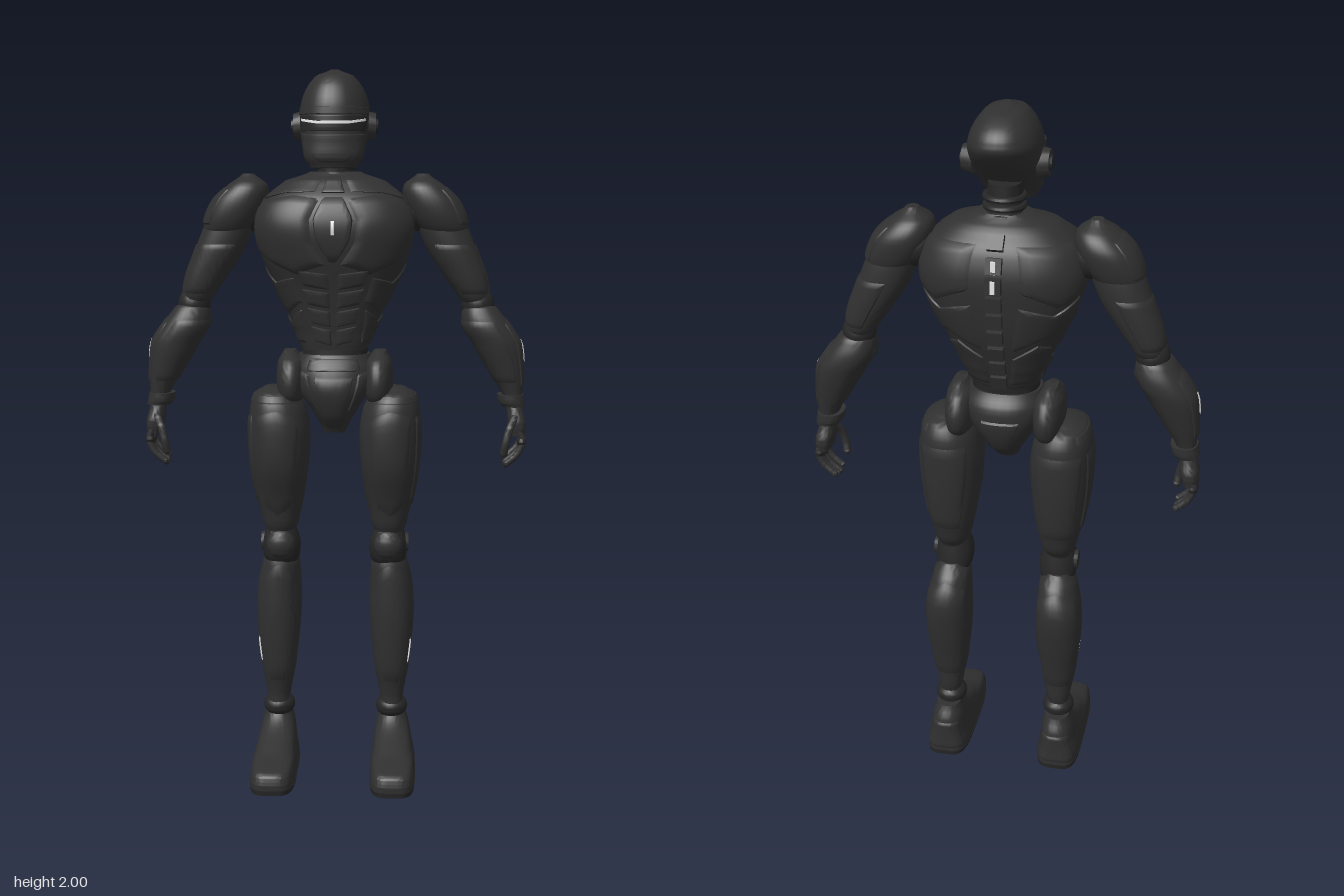
import * as THREE from 'three';
import { toCreasedNormals } from 'three/addons/utils/BufferGeometryUtils.js';

const shell = new THREE.MeshStandardMaterial({ color: 0x303030 });
shell.name = 'charcoal shell';
const joint = new THREE.MeshStandardMaterial({ color: 0x262626 });
joint.name = 'dark joint';
const glow = new THREE.MeshStandardMaterial({ color: 0xf0f0f0 });
glow.name = 'white light';

// Cross-sections run bottom to top: [y, xMin, xMax, zBack, zFront, roundness exponent]
function section(sec, y) {
  let i = 0;
  while (i < sec.length - 2 && y > sec[i + 1][0]) i++;
  const f = (y - sec[i][0]) / (sec[i + 1][0] - sec[i][0]);
  const at = k => sec[THREE.MathUtils.clamp(k, 0, sec.length - 1)];
  return [1, 2, 3, 4, 5].map(c => {
    const [p, q, r, s] = [at(i - 1), at(i), at(i + 1), at(i + 2)].map(v => v[c] ?? 2.3);
    return q + 0.5 * f * (r - p + f * (2 * p - 5 * q + 4 * r - s + f * (3 * (q - r) + s - p)));
  });
}

// Point on a lofted body; angle 0 faces front, +90 degrees faces +x
function surface(sec, y, a, off = 0) {
  const [x0, x1, z0, z1, n] = section(sec, y);
  const pw = v => Math.sign(v) * Math.abs(v) ** (2 / n);
  const s = Math.sin(a), c = Math.cos(a);
  return [(x0 + x1) / 2 + pw(s) * (x1 - x0) / 2 + s * off, y, (z0 + z1) / 2 + pw(c) * (z1 - z0) / 2 + c * off];
}

function build(pos, idx) {
  const g = new THREE.BufferGeometry();
  g.setAttribute('position', new THREE.Float32BufferAttribute(pos, 3));
  g.setIndex(idx);
  return g;
}

// Closed body through the cross-sections
function loft(sec, seg = 36, sub = 4) {
  const pos = [], idx = [], ys = [];
  for (let i = 0; i < sec.length - 1; i++)
    for (let k = 0; k < sub; k++) ys.push(THREE.MathUtils.lerp(sec[i][0], sec[i + 1][0], k / sub));
  ys.push(sec.at(-1)[0]);
  ys.forEach((y, i) => {
    for (let j = 0; j < seg; j++) {
      pos.push(...surface(sec, y, j / seg * Math.PI * 2));
      const a = i * seg + j, b = i * seg + (j + 1) % seg;
      if (i < ys.length - 1) idx.push(a, b, b + seg, a, b + seg, a + seg);
    }
  });
  const last = (ys.length - 1) * seg, c = pos.length / 3;
  for (const s of [sec[0], sec.at(-1)]) pos.push((s[1] + s[2]) / 2, s[0], (s[3] + s[4]) / 2);
  for (let j = 0; j < seg; j++) {
    const k = (j + 1) % seg;
    idx.push(c, k, j, c + 1, last + j, last + k);
  }
  return build(pos, idx);
}

// Raised armour plate following a body; each border is a list interpolated along its length
function plate(sec, bottom, top, left, right, off = 0.006, n = 14) {
  const pos = [], idx = [], lerp = THREE.MathUtils.lerp;
  const along = (list, t) => {
    const f = t * (list.length - 1), i = Math.min(Math.floor(f), list.length - 2);
    return list.length < 2 ? list[0] : lerp(list[i], list[i + 1], f - i);
  };
  for (let i = 0; i <= n; i++) for (let j = 0; j <= n; j++) {
    const u = j / n, v = i / n;
    const edge = Math.min(u, v, 1 - u, 1 - v) * n;
    const h = edge < 0.5 ? -0.004 : edge < 1.5 ? off * 0.8 : off;
    pos.push(...surface(sec, lerp(along(bottom, u), along(top, u), v), lerp(along(left, v), along(right, v), u), h));
    const a = i * (n + 1) + j, b = a + n + 1;
    if (i < n && j < n) idx.push(a, a + 1, b + 1, a, b + 1, b);
  }
  return build(pos, idx);
}

const ball = (x, y, z, rx, ry, rz) => new THREE.SphereGeometry(1, 24, 16).scale(rx, ry, rz).translate(x, y, z);
const disc = (r, h, x, y, z) => new THREE.CylinderGeometry(r * 0.85, r, h, 28).rotateZ(-Math.PI / 2).translate(x, y, z);
const tube = (r, ...pts) => new THREE.TubeGeometry(new THREE.CatmullRomCurve3(pts.map(p => new THREE.Vector3(...p))), 14, r, 10);

function mirrored(geo) {
  const g = geo.clone().scale(-1, 1, 1);
  for (const at of Object.values(g.attributes))
    for (let i = 0; i < at.count; i += 3) for (let k = 0; k < at.itemSize; k++) {
      const t = at.getComponent(i + 1, k);
      at.setComponent(i + 1, k, at.getComponent(i + 2, k));
      at.setComponent(i + 2, k, t);
    }
  return g;
}

// Symmetric bodies
const HEAD = [[1.735, -.065, .065, 0, .092], [1.76, -.08, .08, -.012, .102], [1.8, -.088, .088, -.06, .102], [1.85, -.095, .095, -.125, .103],
  [1.9, -.095, .095, -.175, .098], [1.93, -.088, .088, -.177, .088], [1.96, -.073, .073, -.155, .07], [1.985, -.05, .05, -.11, .04], [2, -.012, .012, -.045, -.01]];
const TORSO = [[1.22, -.09, .09, -.105, .04], [1.25, -.1, .1, -.12, .045], [1.3, -.12, .12, -.14, .053], [1.4, -.165, .165, -.175, .073, 2.4],
  [1.5, -.208, .208, -.195, .098, 2.6], [1.58, -.222, .222, -.2, .106, 2.7], [1.65, -.2, .2, -.18, .082, 2.6], [1.7, -.14, .14, -.14, .035], [1.725, -.07, .07, -.105, -.005]];
const PELVIS = [[1, -.033, .033, -.05, .025], [1.05, -.058, .058, -.11, .062], [1.12, -.1, .1, -.14, .082], [1.18, -.115, .115, -.14, .068], [1.22, -.1, .1, -.115, .045]];
// Limbs on the +x side
const THIGH = [[.7, .118, .195, -.085, .015], [.73, .105, .205, -.105, .028], [.8, .09, .222, -.125, .045], [.9, .075, .238, -.138, .08], [1, .07, .244, -.143, .088],
  [1.07, .082, .24, -.14, .08], [1.11, .105, .225, -.12, .06], [1.125, .135, .2, -.08, .02]];
const SHIN = [[.18, .135, .197, -.1, -.02], [.22, .13, .2, -.11, -.018], [.3, .115, .214, -.12, .003], [.45, .1, .228, -.152, .018],
  [.55, .1, .224, -.162, .02], [.62, .105, .208, -.13, .018], [.65, .12, .195, -.1, .008]];
const FOOT = [[.012, .105, .235, -.158, .216, 4], [.035, .106, .234, -.158, .216, 4], [.06, .11, .23, -.157, .2, 3.6], [.08, .113, .225, -.157, .12, 3],
  [.125, .12, .215, -.155, .01, 2.5], [.165, .13, .203, -.135, -.035]];
const PAD = [[1.53, .31, .365, -.1, -.035], [1.56, .245, .372, -.13, 0], [1.6, .212, .366, -.143, .014], [1.65, .19, .342, -.145, .015], [1.69, .192, .3, -.125, 0], [1.72, .228, .26, -.08, -.045]];
const UPPERARM = [[1.35, .37, .425, -.105, -.035], [1.37, .35, .432, -.125, -.018], [1.42, .315, .428, -.133, -.008], [1.5, .262, .4, -.138, 0], [1.58, .23, .368, -.135, 0], [1.65, .225, .325, -.12, -.01]];
const FOREARM = [[1.09, .478, .53, -.1, -.025], [1.15, .445, .532, -.115, -.015], [1.25, .388, .523, -.138, 0], [1.3, .358, .492, -.138, 0], [1.345, .36, .458, -.122, -.015], [1.365, .385, .43, -.1, -.035]];

export function createModel() {
  const model = new THREE.Group();
  model.name = 'humanoidRobot';
  const add = (name, geo, mat = shell) => {
    const m = new THREE.Mesh(toCreasedNormals(geo, 0.7), mat);
    m.name = name;
    model.add(m);
    return m;
  };
  const pair = (name, geo, mat = shell) => {
    const m = add('left ' + name, geo, mat);
    const r = new THREE.Mesh(mirrored(m.geometry), mat);
    r.name = 'right ' + name;
    model.add(r);
  };

  // Head and neck
  add('helmet', loft(HEAD));
  add('visor', plate(HEAD, [1.83], [1.875], [-1.25], [1.25], .003, 24), joint);
  add('visorLight', plate(HEAD, [1.86, 1.85, 1.85, 1.86], [1.867, 1.858, 1.858, 1.867], [-1.15], [1.15], .005, 24), glow);
  add('browRim', plate(HEAD, [1.876], [1.896], [-1.35], [1.35], .005, 24));
  add('chinGuard', plate(HEAD, [1.785, 1.745, 1.745, 1.785], [1.825], [-1.2], [1.2], .004, 20));
  pair('earDisc', disc(.042, .03, .099, 1.848, -.03));
  pair('earHub', disc(.022, .01, .115, 1.848, -.03), joint);
  add('neck', loft([[1.66, -.065, .065, -.125, .02], [1.72, -.05, .05, -.105, 0], [1.8, -.045, .045, -.1, .02]]), joint);
  for (let i = 0; i < 3; i++)
    add('neckRing', new THREE.TorusGeometry(.05, .009, 8, 28).rotateX(Math.PI / 2).translate(0, 1.715 + i * .024, -.055), joint);

  // Torso armour
  add('torso', loft(TORSO, 48));
  add('sternum', plate(TORSO, [1.475], [1.66], [-.01, -.13, -.16, -.07], [.01, .13, .16, .07], .009));
  add('chestLight', plate(TORSO, [1.545], [1.6], [-.009], [.009], .0125, 6), glow);
  add('collarNotch', plate(TORSO, [1.665], [1.715], [-.12], [.12], .008));
  pair('chestPlate', plate(TORSO, [1.47, 1.44, 1.47, 1.51], [1.655, 1.665, 1.655, 1.63], [.02, .15, .17, .08], [1.35], .008, 18));
  pair('collarPlate', plate(TORSO, [1.668, 1.665, 1.645], [1.705], [.16], [1.3], .005));
  pair('ribPlate', plate(TORSO, [1.37, 1.33, 1.36], [1.44, 1.425, 1.485], [.5], [1.75], .005));
  pair('flankPlate', plate(TORSO, [1.25], [1.355, 1.315, 1.34], [.75, .55], [1.9], .005));
  for (let i = 0; i < 4; i++) {
    const y = 1.245 + i * .052;
    pair('abdomenPlate', plate(TORSO, [y, y + .012], [y + .047, y + .059], [.02], [.5 - i * .01], .006, 10));
  }
  // Back
  pair('shoulderBladePlate', plate(TORSO, [1.53, 1.5, 1.55], [1.67], [1.75], [2.98], .006));
  pair('backPlate', plate(TORSO, [1.39, 1.41, 1.36], [1.535, 1.485, 1.515], [1.8], [2.98], .005));
  pair('lowerBackPlate', plate(TORSO, [1.25], [1.375, 1.395, 1.345], [2], [2.95], .005));
  for (let i = 0; i < 9; i++) {
    const y = 1.27 + i * .05, z = section(TORSO, y)[2];
    const slope = (section(TORSO, y + .02)[2] - section(TORSO, y - .02)[2]) / .04;
    add('spineSegment', new THREE.BoxGeometry(.042, .042, .03).rotateX(Math.atan(slope)).translate(0, y, z));
  }
  for (const y of [1.57, 1.62])
    add('spineLight', new THREE.BoxGeometry(.012, .034, .006).translate(0, y, section(TORSO, y)[2] - .016), glow);

  // Waist and pelvis
  add('waist', loft([[1.17, -.1, .1, -.115, .045], [1.21, -.092, .092, -.11, .042], [1.27, -.098, .098, -.118, .042]]), joint);
  add('pelvis', loft(PELVIS));
  add('groinPlate', plate(PELVIS, [1.01], [1.165], [-.5, -.42, -.48], [.5, .42, .48], .006));
  add('tailPlate', plate(PELVIS, [1.03], [1.15], [2.8, 2.75, 2.65], [3.48, 3.53, 3.63], .006));
  add('beltPlate', plate(PELVIS, [1.175], [1.212], [-.7], [.7], .005));
  pair('groinSidePlate', plate(PELVIS, [1.06, 1.1], [1.17, 1.19], [.55], [1.3], .006));
  pair('hipGuard', loft([[1.07, .105, .145, -.1, .03], [1.1, .085, .16, -.138, .065], [1.15, .08, .165, -.148, .072], [1.2, .085, .16, -.125, .05], [1.228, .11, .145, -.08, 0]]));

  // Legs
  pair('thigh', loft(THIGH));
  pair('thighFrontPlate', plate(THIGH, [.78, .75, .78], [1.05, 1.08, 1.06], [-.5, -.8], [.6, .75], .004));
  pair('thighSidePlate', plate(THIGH, [.8, .77, .8], [1.06], [1, .9], [2, 2.1], .004));
  pair('thighBackPlate', plate(THIGH, [.77], [1.06], [2.4, 2.2], [3.7, 4], .004));
  pair('hipBand', plate(THIGH, [1.085], [1.108], [-1.2], [2.6], .004, 18));
  pair('knee', loft([[.6, .12, .19, -.09, 0], [.63, .103, .204, -.095, .02], [.68, .1, .207, -.09, .028], [.74, .12, .19, -.08, .01]]), joint);
  pair('kneeCap', ball(.153, .675, .012, .04, .042, .026));
  pair('kneeHub', disc(.03, .016, .203, .675, -.035));
  pair('shin', loft(SHIN));
  pair('shinPlate', plate(SHIN, [.25], [.6, .635, .6], [-.5, -.7], [.5, .7], .004));
  pair('calfPlate', plate(SHIN, [.26], [.59, .62, .59], [2.3, 1.75, 1.9], [3.9, 4.4, 4.3], .005));
  pair('shinLight', plate(SHIN, [.31], [.4], [1.02, 1.08], [1.08, 1.15], .004, 6), glow);
  pair('ankle', ball(.165, .178, -.065, .046, .036, .05), joint);
  pair('foot', loft(FOOT, 48));
  pair('toeCap', plate(FOOT, [.02], [.066], [-.72], [.72], .003, 24));
  pair('heelPlate', plate(FOOT, [.02], [.12], [2.3], [3.98], .003));
  pair('sole', loft([[0, .106, .234, -.158, .216, 4], [.014, .104, .236, -.16, .218, 4]], 48, 1), joint);

  // Arms
  pair('shoulderJoint', ball(.235, 1.62, -.07, .06, .06, .06), joint);
  pair('shoulderPad', loft(PAD));
  pair('shoulderPadPlate', plate(PAD, [1.575], [1.68, 1.69, 1.68], [.6], [2.5], .004));
  pair('upperArm', loft(UPPERARM));
  pair('bicepPlate', plate(UPPERARM, [1.38], [1.53], [-.7], [.8], .004));
  pair('tricepPlate', plate(UPPERARM, [1.38], [1.53], [1.3], [3.4], .004));
  pair('elbow', ball(.402, 1.355, -.07, .046, .05, .052), joint);
  pair('forearm', loft(FOREARM));
  pair('forearmOuterPlate', plate(FOREARM, [1.12], [1.31, 1.33, 1.31], [.8], [2.35], .004));
  pair('forearmInnerPlate', plate(FOREARM, [1.13], [1.32], [-2], [.55], .003));
  pair('forearmLight', plate(FOREARM, [1.18], [1.27], [1.51], [1.63], .007, 6), glow);
  pair('wristCuff', loft([[1.068, .472, .54, -.108, -.018], [1.08, .463, .538, -.112, -.014], [1.102, .46, .534, -.112, -.014]]));

  // Hands
  pair('palm', loft([[.985, .5, .54, -.108, -.022, 3], [1.02, .492, .542, -.113, -.016, 3], [1.05, .488, .535, -.1, -.025], [1.085, .487, .525, -.088, -.038]]));
  for (let i = 0; i < 4; i++) {
    const z = -.1 + i * .024, d = [.015, .004, 0, .007][i];
    pair('finger', tube(.0095, [.521, 1.0, z], [.532, .965 + d, z], [.518, .928 + d, z], [.487, .9 + d, z]));
    pair('fingertip', ball(.487, .9 + d, z, .0095, .0095, .0095));
    pair('knuckle', ball(.53, .963 + d, z, .012, .014, .0115), joint);
  }
  pair('thumb', tube(.011, [.51, 1.04, -.03], [.492, 1.005, -.004], [.482, .965, .002], [.478, .94, -.004]));
  pair('thumbTip', ball(.478, .94, -.004, .011, .012, .011));
  return model;
}
